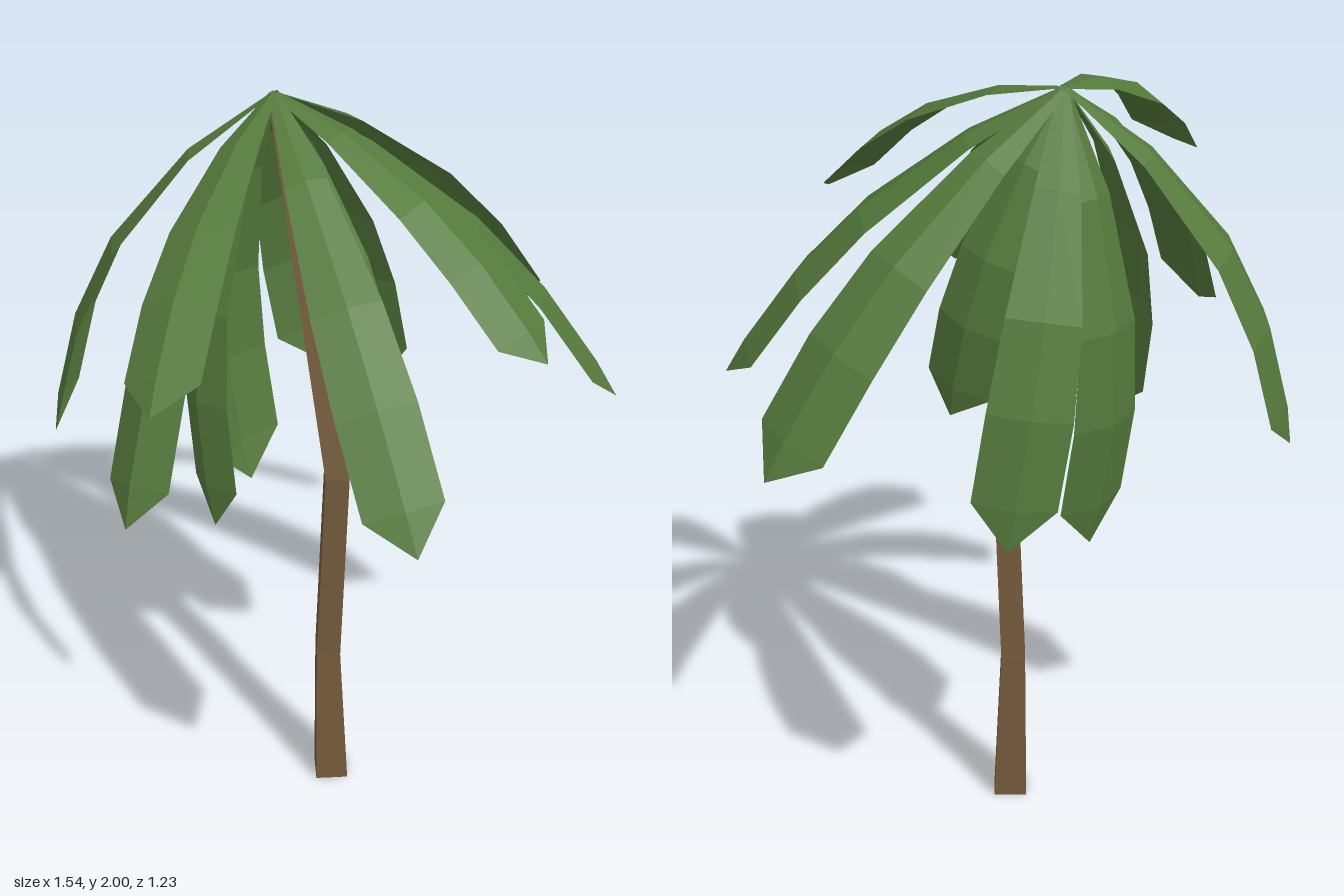
import * as THREE from 'three';

const bark = new THREE.MeshStandardMaterial({ color: 0x755c3d, flatShading: true });
bark.name = 'bark brown';
const leaf = new THREE.MeshStandardMaterial({ color: 0x567b3d, flatShading: true, side: THREE.DoubleSide });
leaf.name = 'leaf green';

// The crown sits on the leaning trunk top, so its axis tilts backwards
const APEX = new THREE.Vector3(0, 2, -0.21);
const AXIS = new THREE.Vector3(0, 1, -0.26).normalize();

// Four-sided trunk bent through rings of [height, z offset, radius]
function makeTrunk() {
  const rings = [[0, -0.035, 0.06], [0.42, -0.045, 0.044], [1.0, -0.013, 0.043], [1.97, -0.205, 0.02]];
  const last = rings.length - 1;
  const geo = new THREE.CylinderGeometry(1, 1, 1, 4, last);
  const p = geo.attributes.position;
  for (let i = 0; i < p.count; i++) {
    const [y, z, r] = rings[Math.round((p.getY(i) + 0.5) * last)];
    p.setXYZ(i, p.getX(i) * r, y, p.getZ(i) * r + z);
  }
  geo.computeVertexNormals();
  const mesh = new THREE.Mesh(geo, bark);
  mesh.name = 'trunk';
  return mesh;
}

// Drooping leaf: a strip folded along its midrib, following an arc from the apex to a pointed tip
function makeFrond(tipXYZ, bulge, widthScale) {
  const tip = new THREE.Vector3(...tipXYZ);
  const chord = tip.clone().sub(APEX);
  const side = new THREE.Vector3().crossVectors(AXIS, chord).normalize();
  const lift = new THREE.Vector3().crossVectors(chord, side).normalize();
  const control = APEX.clone().add(tip).multiplyScalar(0.5).addScaledVector(lift, 2 * bulge);
  const arc = new THREE.QuadraticBezierCurve3(APEX, control, tip);

  // [position along the arc, half width]
  const sections = [[0, 0.012], [0.22, 0.054], [0.5, 0.09], [0.71, 0.103], [0.91, 0.103], [1, 0]];
  const points = [], index = [];
  sections.forEach(([t, w], i) => {
    const rib = arc.getPoint(t);
    const up = new THREE.Vector3().crossVectors(arc.getTangent(t), side).normalize();
    const half = w * widthScale;
    for (const s of [-1, 0, 1]) {
      const v = rib.clone().addScaledVector(side, s * half).addScaledVector(up, -Math.abs(s) * half * 0.28);
      points.push(v.x, v.y, v.z);
    }
    if (i === sections.length - 1) return;
    for (let k = 0; k < 2; k++) {
      const a = i * 3 + k, b = a + 1, c = a + 3, d = a + 4;
      if (i < sections.length - 2) index.push(a, c, d, a, d, b);
      else index.push(a, i * 3 + 4, b); // pointed end
    }
  });
  const geo = new THREE.BufferGeometry();
  geo.setAttribute('position', new THREE.Float32BufferAttribute(points, 3));
  geo.setIndex(index);
  geo.computeVertexNormals();
  return new THREE.Mesh(geo, leaf);
}

export function createModel() {
  const model = new THREE.Group();
  model.name = 'palmTree';
  model.add(makeTrunk());

  // Tip position, arc height, width scale
  const fronds = [
    [[-0.41, 1.08, -0.6], 0.14, 1],
    [[0.38, 1.0, -0.4], 0.14, 1],
    [[0, 0.85, -0.31], 0.125, 1.05],
    [[0.77, 1.18, 0.0], 0.11, 1.05],
    [[0.48, 1.215, 0.49], 0.1, 1],
    [[0.03, 1.565, 0.595], 0.09, 0.88],
    [[-0.4, 1.245, 0.575], 0.1, 0.95],
    [[-0.77, 1.61, 0.12], 0.085, 0.95],
    [[-0.72, 1.215, -0.03], 0.095, 1],
    [[0.215, 1.18, -0.04], 0.1, 0.9],
    [[-0.39, 1.03, -0.065], 0.12, 0.95],
    [[-0.055, 1.215, 0.165], 0.1, 0.85],
  ];
  const crown = new THREE.Group();
  crown.name = 'crown';
  fronds.forEach((f, i) => {
    const mesh = makeFrond(...f);
    mesh.name = 'frond' + (i + 1);
    crown.add(mesh);
  });
  model.add(crown);
  return model;
}
